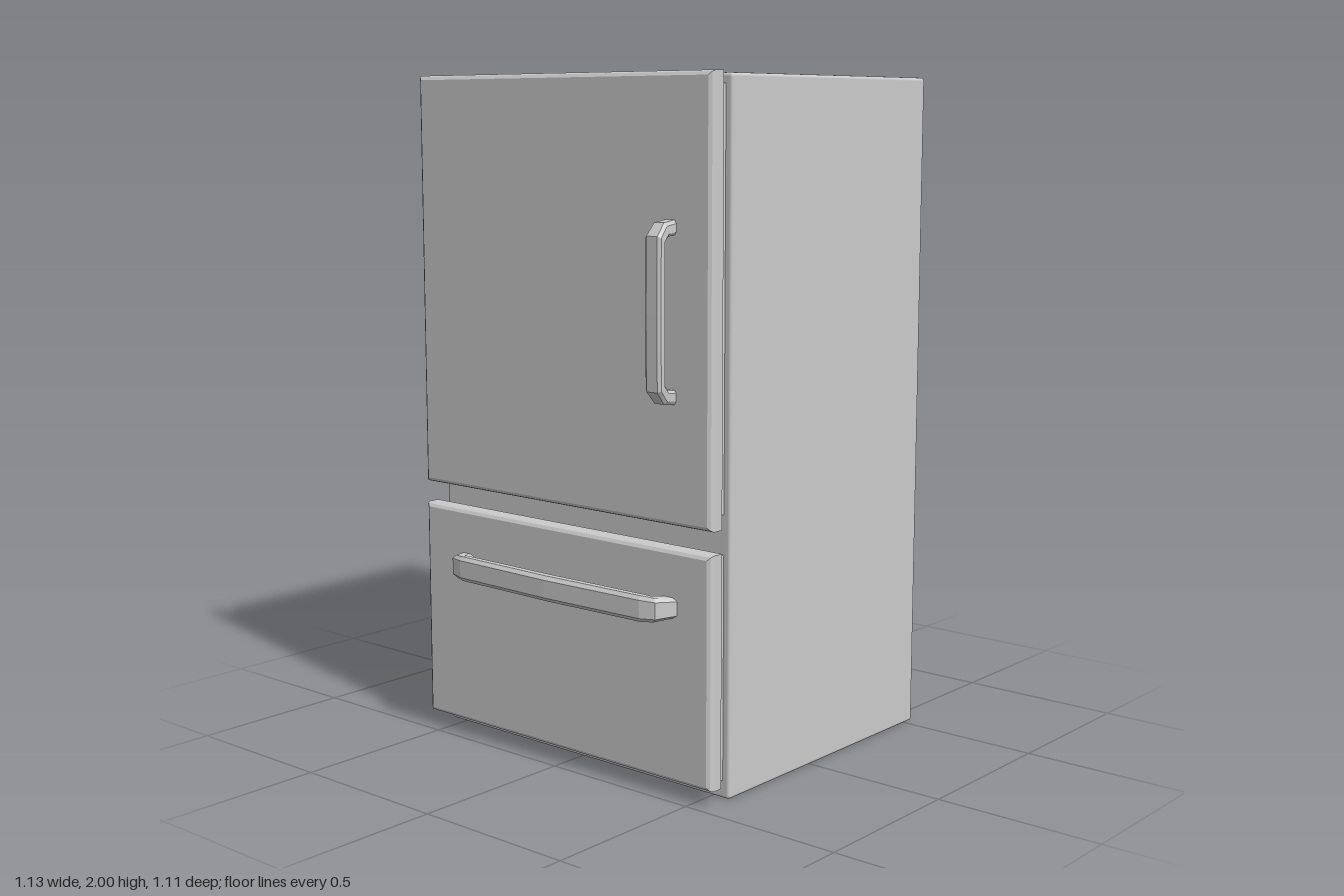
import * as THREE from 'three';
import { RoundedBoxGeometry } from 'three/addons/geometries/RoundedBoxGeometry.js';

const grey = new THREE.MeshStandardMaterial({ color: 0xcccccc });

function part(name, geometry, parent) {
  const mesh = new THREE.Mesh(geometry, grey);
  mesh.name = name;
  parent.add(mesh);
  return mesh;
}

// Skin a list of equal-sized rings (each an array of [x, y, z]) with capped ends, flat shaded.
function loft(rings) {
  const n = rings[0].length;
  const index = [];
  for (let r = 0; r < rings.length - 1; r++) {
    for (let i = 0; i < n; i++) {
      const a = r * n + i, b = r * n + (i + 1) % n;
      index.push(a, b, b + n, a, b + n, a + n);
    }
  }
  const last = (rings.length - 1) * n;
  for (let i = 1; i < n - 1; i++) {
    index.push(0, i + 1, i, last, last + i, last + i + 1);
  }
  const g = new THREE.BufferGeometry();
  g.setAttribute('position', new THREE.Float32BufferAttribute(rings.flat(2), 3));
  g.setIndex(index);
  const flat = g.toNonIndexed();
  flat.computeVertexNormals();
  return flat;
}

// Rectangular slab built forwards along z from [z, inset] steps.
function slab(halfWidth, bottom, top, steps) {
  return loft(steps.map(([z, d]) => {
    const w = halfWidth - d, lo = bottom + d, hi = top - d;
    return [[-w, lo, z], [w, lo, z], [w, hi, z], [-w, hi, z]];
  }));
}

// Handle along x from half its stations: [innerX, innerZ, outerX, outerZ, halfWidth].
function handle(half) {
  const mirrored = half.slice(0, -1).reverse().map(([a, b, c, d, w]) => [-a, b, -c, d, w]);
  const section = [[0.75, 0], [1, 0.2], [1, 0.75], [0.7, 1], [-0.7, 1], [-1, 0.75], [-1, 0.2], [-0.75, 0]];
  return loft([...half, ...mirrored].map(([ix, iz, ox, oz, w]) =>
    section.map(([v, t]) => [ix + (ox - ix) * t, v * w, iz + (oz - iz) * t])));
}

// Serpentine strip on the back: four rows joined by alternating bends.
function coil() {
  const L = -0.42, R = 0.45, t = 0.06;
  const shape = new THREE.Shape([
    [R, 1.6], [L, 1.6], [L, 1.105], [R - t, 1.105], [R - t, 0.76], [L, 0.76], [L, 0.355], [R, 0.355],
    [R, 0.41], [L + t, 0.41], [L + t, 0.7], [R, 0.7], [R, 1.165], [L + t, 1.165], [L + t, 1.545], [R, 1.545],
  ].map(([x, y]) => new THREE.Vector2(x, y)));
  return new THREE.ExtrudeGeometry(shape, { depth: 0.025, bevelEnabled: false });
}

export function createModel() {
  const model = new THREE.Group();
  model.name = 'refrigerator';

  // Cabinet
  const cabinet = part('cabinet', new RoundedBoxGeometry(1.122, 1.995, 0.923, 2, 0.01), model);
  cabinet.position.set(0, 0.9975, -0.0765);

  // Door and drawer fronts, each with a tapered seal behind
  const fronts = [
    { name: 'door', bottom: 0.775, top: 2, sealBottom: 0.805, sealTop: 1.97 },
    { name: 'drawer', bottom: 0.045, top: 0.71, sealBottom: 0.05, sealTop: 0.698 },
  ];
  for (const f of fronts) {
    const group = new THREE.Group();
    group.name = f.name;
    model.add(group);
    part(f.name + 'Panel', slab(0.564, f.bottom, f.top,
      [[0.425, 0], [0.458, 0], [0.468, 0.004], [0.474, 0.013]]), group);
    part(f.name + 'Seal', slab(0.54, f.sealBottom, f.sealTop,
      [[0.38, 0], [0.428, 0.017]]), group);
  }

  // Hinges on the right-hand side of the door
  for (const y of [1.57, 1.16]) {
    const hinge = part('hinge', new THREE.BoxGeometry(0.03, 0.09, 0.05), model);
    hinge.position.set(-0.535, y, 0.405);
  }

  // Upright door handle
  const doorHandle = part('doorHandle', handle([
    [-0.21, 0.466, -0.25, 0.466, 0.02],
    [-0.205, 0.505, -0.243, 0.52, 0.024],
    [-0.19, 0.522, -0.208, 0.55, 0.0275],
    [0, 0.522, 0, 0.552, 0.0275],
  ]), model);
  doorHandle.rotation.z = Math.PI / 2;
  doorHandle.position.set(0.422, 1.36, 0);

  // Bowed drawer handle
  const drawerHandle = part('drawerHandle', handle([
    [-0.375, 0.466, -0.435, 0.466, 0.028],
    [-0.362, 0.508, -0.402, 0.532, 0.034],
    [-0.35, 0.513, -0.355, 0.546, 0.037],
    [-0.18, 0.514, -0.18, 0.55, 0.037],
    [0, 0.517, 0, 0.555, 0.037],
  ]), model);
  drawerHandle.position.set(0.015, 0.546, 0);

  // Cooling coil on the back
  part('coolingCoil', coil(), model).position.z = -0.556;

  return model;
}
